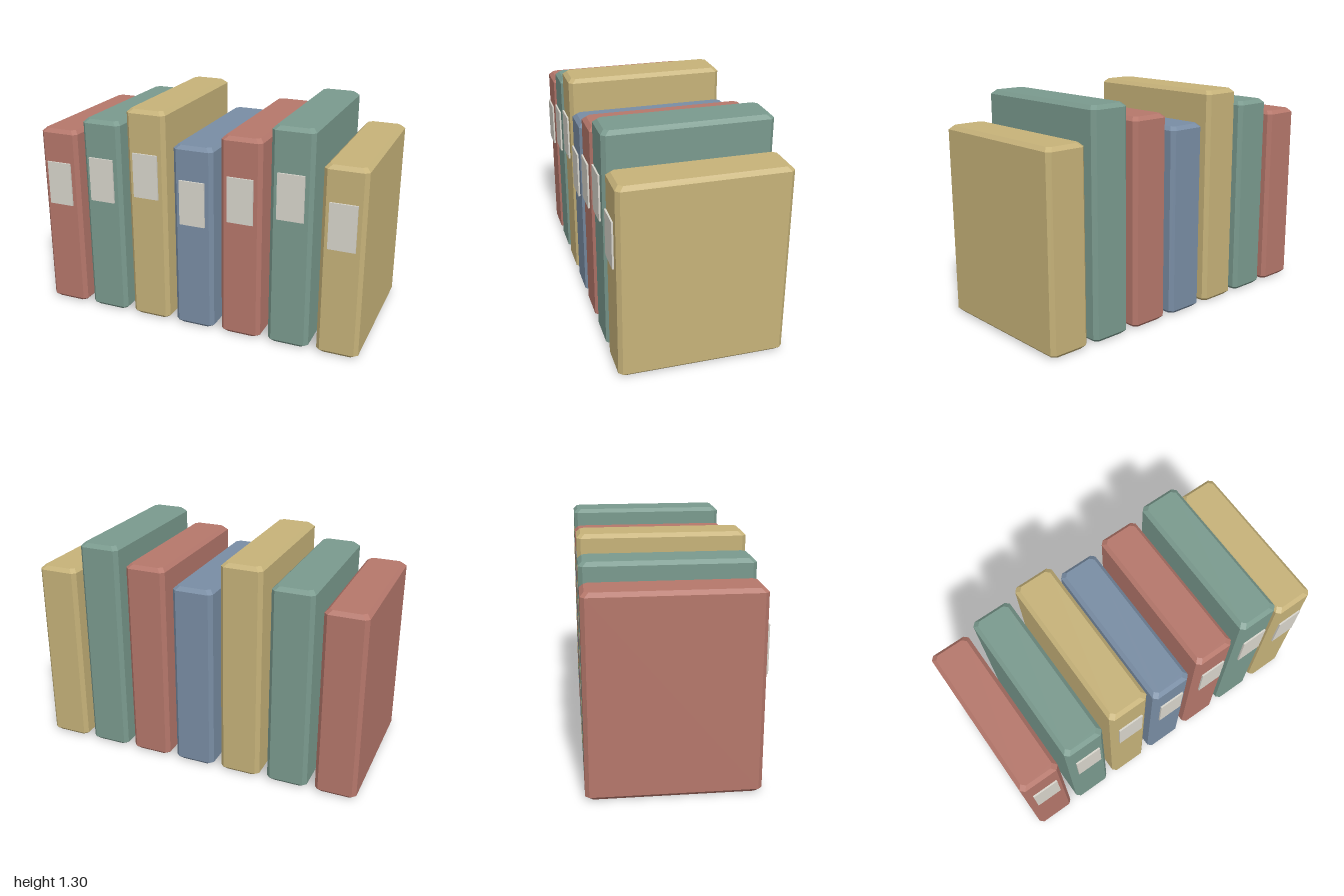
import * as THREE from 'three';
import { ConvexGeometry } from 'three/addons/geometries/ConvexGeometry.js';

const COLORS = { red: 0xb5776b, green: 0x7a9a8e, yellow: 0xc6b279, blue: 0x798da4, paper: 0xd8d5cc };

const BOOK_WIDTH = 0.244;
const BOOK_DEPTH = 0.945;
const BOOK_Z = -0.0075;
const SPACING = 0.2927;
const BEVEL = 0.022;

// Octagonal outline of a w x d rectangle with cut corners, at height y
function outline(w, d, y, cut) {
  const points = [];
  for (const sx of [-1, 1]) {
    for (const sz of [-1, 1]) {
      points.push(new THREE.Vector3(sx * (w / 2 - cut), y, sz * d / 2));
      points.push(new THREE.Vector3(sx * w / 2, y, sz * (d / 2 - cut)));
    }
  }
  return points;
}

// Block with every edge chamfered, standing on y = 0
function chamferedBlock(w, h, d, b) {
  return new ConvexGeometry([
    ...outline(w - 2 * b, d - 2 * b, 0, b),
    ...outline(w, d, b, b),
    ...outline(w, d, h - b, b),
    ...outline(w - 2 * b, d - 2 * b, h, b),
  ]);
}

function material(color) {
  return new THREE.MeshStandardMaterial({ color, flatShading: true });
}

function createBook(height, color) {
  const book = new THREE.Group();

  const cover = new THREE.Mesh(chamferedBlock(BOOK_WIDTH, height, BOOK_DEPTH, BEVEL), material(color));
  cover.name = 'cover';
  cover.position.z = BOOK_Z;

  // Thin paper label held just in front of the spine
  const label = new THREE.Mesh(new THREE.BoxGeometry(0.156, 0.268, 0.01), material(COLORS.paper));
  label.name = 'spineLabel';
  label.position.set(0, height * 0.703, 0.475);

  book.add(cover, label);
  return book;
}

export function createModel() {
  const model = new THREE.Group();
  model.name = 'bookRow';

  // Heights repeat every three books, colours every four
  const heights = [1.126, 1.213, 1.303];
  const colors = [COLORS.red, COLORS.green, COLORS.yellow, COLORS.blue];
  for (let i = 0; i < 7; i++) {
    const book = createBook(heights[i % 3], colors[i % 4]);
    book.name = `book${i + 1}`;
    book.position.x = (i - 3) * SPACING;
    model.add(book);
  }
  return model;
}
